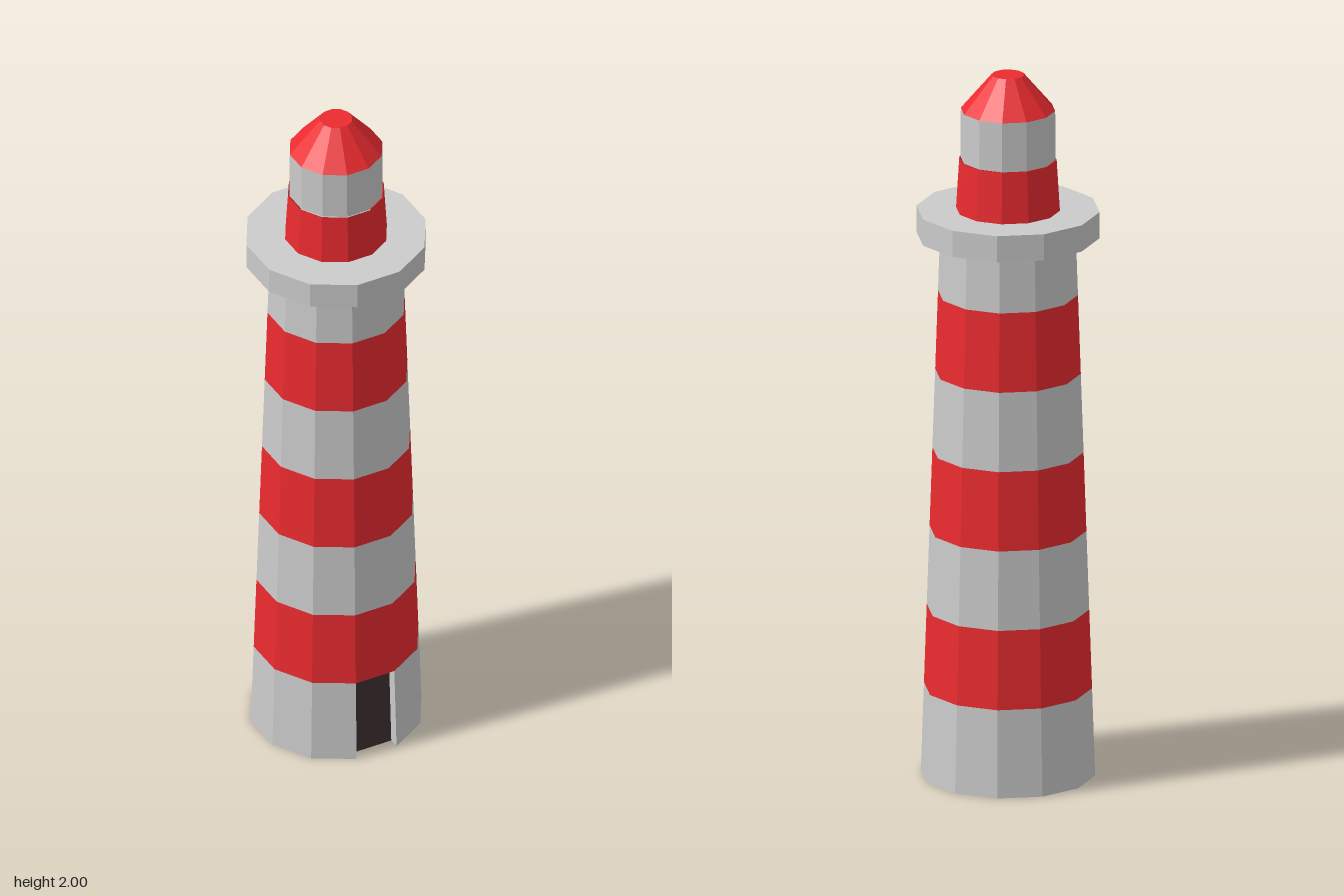
import * as THREE from 'three';

const SIDES = 12;
const STEP = (Math.PI * 2) / SIDES;

const makeMaterial = (color) =>
  new THREE.MeshStandardMaterial({ color, flatShading: true, side: THREE.DoubleSide });

export function createModel() {
  const group = new THREE.Group();
  const grey = makeMaterial(0xcccccc);
  const red = makeMaterial(0xec2b30);
  const dark = makeMaterial(0x3f3232);

  const add = (name, geometry, material) => {
    const mesh = new THREE.Mesh(geometry, material);
    mesh.name = name;
    group.add(mesh);
    return mesh;
  };

  // Tapered twelve-sided section between two heights; skip leaves out facets from the front
  const section = (name, y0, y1, r0, r1, material, open = true, skip = 0) => {
    const geometry = new THREE.CylinderGeometry(
      r1, r0, y1 - y0, SIDES - skip, 1, open, skip * STEP, (SIDES - skip) * STEP);
    geometry.translate(0, (y0 + y1) / 2, 0);
    return add(name, geometry, material);
  };

  // Four-cornered panel, corners counter-clockwise
  const quad = (name, a, b, c, d, material) => {
    const geometry = new THREE.BufferGeometry().setFromPoints([a, b, c, a, c, d]);
    geometry.computeVertexNormals();
    return add(name, geometry, material);
  };

  // Striped tower, with one facet of the lowest band left out for the doorway
  const heights = [0, 0.25, 0.475, 0.7, 0.925, 1.15, 1.375, 1.54];
  const radius = (y) => 0.24 - (0.053 * y) / 1.54;
  for (let i = 0; i < heights.length - 1; i++) {
    const [y0, y1] = [heights[i], heights[i + 1]];
    section(`towerBand${i + 1}`, y0, y1, radius(y0), radius(y1),
      i % 2 ? red : grey, true, i === 0 ? 1 : 0);
  }

  // Recessed door with its jambs and lintel
  const corner = (k, y) => new THREE.Vector3(
    radius(y) * Math.sin(k * STEP), y, radius(y) * Math.cos(k * STEP));
  const inward = new THREE.Vector3(-Math.sin(STEP / 2), 0, -Math.cos(STEP / 2)).multiplyScalar(0.03);
  const outer = [corner(0, 0), corner(1, 0), corner(1, 0.25), corner(0, 0.25)];
  const inner = outer.map((p) => p.clone().add(inward));
  quad('door', ...inner, dark);
  quad('doorJambRight', outer[0], inner[0], inner[3], outer[3], grey);
  quad('doorJambLeft', inner[1], outer[1], outer[2], inner[2], grey);
  quad('doorLintel', inner[3], inner[2], outer[2], outer[3], grey);

  // Gallery, lantern room and roof
  section('gallery', 1.54, 1.615, 0.252, 0.252, grey, false);
  section('lanternBase', 1.615, 1.76, 0.143, 0.134, red);
  section('lanternRoom', 1.76, 1.9, 0.131, 0.13, grey);
  section('roof', 1.9, 2, 0.13, 0.045, red, false);

  return group;
}
